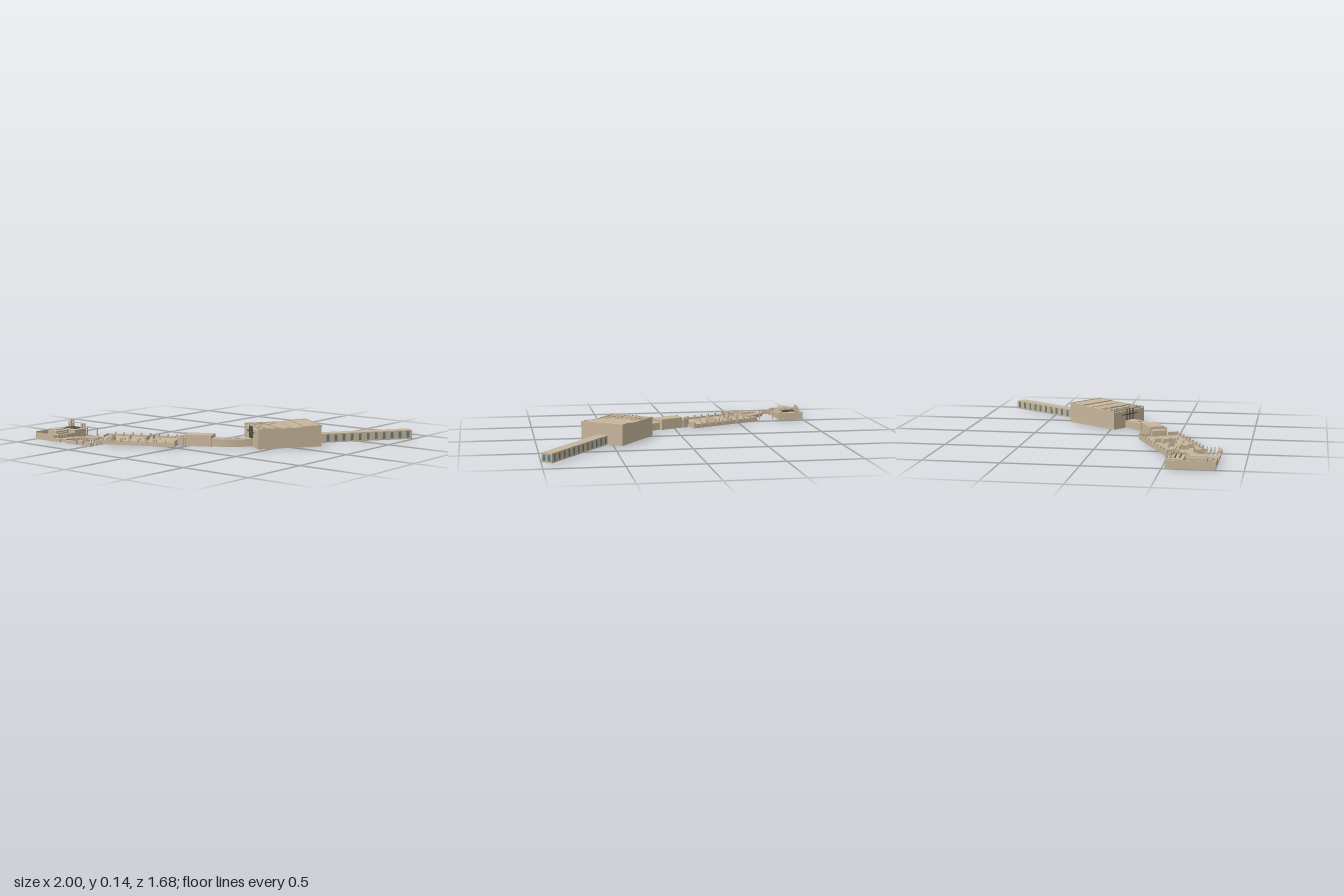
import * as THREE from 'three';

const mat = (name, color) => {
  const m = new THREE.MeshStandardMaterial({ color });
  m.name = name;
  return m;
};

export function createModel() {
  const model = new THREE.Group();
  const stone = mat('sandstone', 0xc6b59b);
  const glass = mat('teal glass', 0x5f8080);
  const iron = mat('dark iron', 0x57524a);

  // Section group whose local x runs along its length
  const section = (name, x, z, angle = 0) => {
    const g = new THREE.Group();
    g.name = name;
    g.position.set(x, 0, z);
    g.rotation.y = angle;
    model.add(g);
    return g;
  };
  // Box given by centre x/z, bottom y and size
  const box = (g, name, x, y, z, w, h, d, m = stone) => {
    const b = new THREE.Mesh(new THREE.BoxGeometry(w, h, d), m);
    b.name = name;
    b.position.set(x, y + h / 2, z);
    g.add(b);
    return b;
  };
  // Prism extruded upward from plan points [x, z]
  const plan = (g, name, pts, y, h) => {
    const shape = new THREE.Shape(pts.map(([x, z]) => new THREE.Vector2(x, -z)));
    const geo = new THREE.ExtrudeGeometry(shape, { depth: h, bevelEnabled: false });
    geo.rotateX(-Math.PI / 2);
    const p = new THREE.Mesh(geo, stone);
    p.name = name;
    p.position.y = y;
    g.add(p);
  };
  // Curved passage of constant width
  const bend = (g, name, a, c, b, width, y, h) => {
    const v = (p) => new THREE.Vector2(p[0], p[1]);
    const curve = new THREE.QuadraticBezierCurve(v(a), v(c), v(b));
    const left = [], right = [];
    for (let i = 0; i <= 14; i++) {
      const p = curve.getPoint(i / 14), t = curve.getTangent(i / 14);
      left.push([p.x - t.y * width / 2, p.y + t.x * width / 2]);
      right.unshift([p.x + t.y * width / 2, p.y - t.x * width / 2]);
    }
    plan(g, name, left.concat(right), y, h);
  };

  // Long corridor with windows on both sides
  const corridor = section('corridor', 0.763, -0.532, 0.963);
  box(corridor, 'corridorBody', 0, 0.005, 0, 0.713, 0.061, 0.076);
  for (let i = 0; i < 12; i++)
    for (const s of [-1, 1])
      box(corridor, 'corridorWindow', -0.315 + i * 0.0582, 0.014, s * 0.038, 0.02, 0.045, 0.003, glass);
  for (const z of [-0.018, 0.018])
    box(corridor, 'endWindow', 0.3565, 0.016, z, 0.003, 0.04, 0.022, glass);

  // Great hall: stepped roof inside a parapet that rises at the back
  const hall = section('greatHall', 0.445, -0.065, 0.964);
  box(hall, 'hallBody', 0, 0.003, 0, 0.438, 0.117, 0.311);
  for (let i = 0; i < 4; i++)
    box(hall, 'roofStep', -0.1 + i * 0.04 + 0.06, 0.12, 0, 0.36 - i * 0.08, 0.003 + i * 0.004, 0.29);
  for (const s of [-1, 1]) {
    const side = new THREE.Shape();
    [[-0.219, 0.12], [0.219, 0.12], [0.219, 0.146], [0.16, 0.146], [0.04, 0.135], [-0.219, 0.135]]
      .forEach(([x, y], i) => (i ? side.lineTo(x, y) : side.moveTo(x, y)));
    const wall = new THREE.Mesh(
      new THREE.ExtrudeGeometry(side, { depth: 0.008, bevelEnabled: false }), stone);
    wall.name = 'sideParapet';
    wall.position.z = s * 0.1515 - 0.004;
    hall.add(wall);
  }
  plan(hall, 'upperRoof', [[0.1, -0.15], [0.219, -0.15], [0.219, 0.15], [0.1, 0.15]], 0.12, 0.022);
  box(hall, 'backParapet', 0.215, 0.12, 0, 0.008, 0.026, 0.311);
  for (const x of [-0.2, -0.155, -0.09, 0.02]) {
    for (const z of [-0.105, 0, 0.105])
      box(hall, 'partition', x, 0.12, z, 0.006, 0.015, 0.08);
    for (const z of [-0.055, 0.055])
      box(hall, 'partitionPier', x + 0.008, 0.12, z, 0.022, 0.016, 0.024);
  }
  for (const z of [-0.1, 0.1])
    box(hall, 'roofRib', -0.05, 0.12, z, 0.27, 0.013, 0.005);
  // Iron frame on the front wall
  for (const z of [-0.03, 0, 0.03])
    box(hall, 'framePost', -0.223, 0.055, z, 0.008, 0.08, 0.005, iron);
  box(hall, 'frameBar', -0.223, 0.095, 0, 0.008, 0.006, 0.15, iron);

  // Curved link between the great hall and the anteroom
  const link = section('curvedLink', 0, 0);
  bend(link, 'linkPassage', [0.11, 0.285], [0.25, 0.235], [0.33, 0.1], 0.085, 0.005, 0.05);
  for (const [x, z, a] of [[0.212, 0.232, 0.6], [0.26, 0.188, 0.8]])
    box(link, 'linkHatch', x, 0.054, z, 0.036, 0.006, 0.034).rotation.y = a;

  // Anteroom block with end ribs
  const ante = section('anteroom', 0.03, 0.324, 0.45);
  box(ante, 'anteroomBody', 0.015, 0.004, 0, 0.178, 0.074, 0.108);
  box(ante, 'anteroomCollar', 0.1, 0.004, 0, 0.014, 0.071, 0.122);
  plan(ante, 'anteroomThroat', [[-0.13, -0.05], [-0.07, -0.06], [-0.07, 0.06], [-0.13, 0.05]], 0.004, 0.056);
  for (const z of [-0.055, 0.055])
    box(ante, 'throatPier', -0.095, 0.004, z, 0.025, 0.072, 0.012);

  // Open gallery: floor slab, broken edge walls, piers and screens
  const gallery = section('gallery', -0.335, 0.494, 0.44);
  box(gallery, 'galleryFloor', 0, 0.006, 0, 0.564, 0.016, 0.277);
  for (const s of [-1, 1])
    for (let i = 0; i < 9; i++) {
      const x = -0.25 + i * 0.0625;
      box(gallery, 'edgeWall', x, 0.022, s * 0.134, 0.044, 0.012, 0.006);
      box(gallery, 'edgePier', x + 0.03, 0.022, s * 0.132, 0.009, 0.026, 0.012);
    }
  for (const s of [-1, 1]) {
    box(gallery, 'endWall', -0.278, 0.022, s * 0.09, 0.006, 0.014, 0.09);
    box(gallery, 'endWall', 0.278, 0.022, s * 0.1, 0.006, 0.024, 0.07);
  }
  for (const [x, z, d] of [[-0.19, 0.01, 0.06], [-0.16, 0.07, 0.045], [0.05, 0, 0.09], [0.07, -0.075, 0.045], [-0.08, -0.03, 0.035]])
    box(gallery, 'screen', x, 0.022, z, 0.009, 0.026, d);
  for (const x of [-0.21, -0.1, 0.01, 0.12])
    for (const z of [-0.06, 0.03, 0.08])
      box(gallery, 'galleryPost', x, 0.022, z, 0.01, 0.018, 0.01);

  // Curved path from the gallery to the front walk
  const path = section('curvedPath', 0, 0);
  bend(path, 'pathFloor', [-0.575, 0.625], [-0.73, 0.66], [-0.73, 0.825], 0.05, 0.006, 0.024);

  // Front walk with piers and dotted posts
  const walk = section('frontWalk', 0, 0);
  box(walk, 'walkWall', -0.64, 0.008, 0.822, 0.36, 0.01, 0.008);
  for (const [x, w, h] of [[-0.785, 0.06, 0.024], [-0.65, 0.1, 0.02], [-0.56, 0.04, 0.032], [-0.49, 0.05, 0.026]])
    box(walk, 'walkPier', x, 0.004, 0.823, w, h, 0.02);
  for (const x of [-0.8, -0.655, -0.6, -0.53, -0.46])
    for (let i = 0; i < 4; i++)
      box(walk, 'walkPost', x, 0.006, 0.735 + i * 0.025, 0.005, 0.03, 0.006);

  // Free-standing gate
  const gate = section('gate', -0.73, 0.555);
  box(gate, 'gateLintel', 0, 0.07, 0, 0.115, 0.008, 0.01);
  for (const x of [-0.05, 0.05])
    box(gate, 'gatePost', x, 0.006, 0, 0.007, 0.065, 0.008);

  // Courtyard house: floor, walls, raised hall with rails, stepped blocks
  const yard = section('courtyard', -0.908, 0.675);
  box(yard, 'yardFloor', 0, 0.002, 0, 0.18, 0.014, 0.31);
  box(yard, 'outerWall', -0.088, 0.01, 0, 0.008, 0.045, 0.31);
  box(yard, 'frontWall', 0, 0.01, 0.151, 0.18, 0.038, 0.007);
  box(yard, 'innerWall', 0.086, 0.01, 0.03, 0.007, 0.03, 0.24);
  box(yard, 'raisedHall', 0.012, 0.012, -0.095, 0.15, 0.045, 0.1);
  for (const z of [-0.128, -0.098, -0.068])
    box(yard, 'roofRail', 0.015, 0.06, z, 0.11, 0.005, 0.007, iron);
  box(yard, 'backWall', 0, 0.01, -0.15, 0.16, 0.045, 0.007);
  for (const [x, h] of [[-0.04, 0.1], [-0.055, 0.085], [0.07, 0.08]])
    for (const z of [-0.149, -0.125])
      box(yard, 'tallPost', x, 0.01, z, 0.011, h, 0.011);
  box(yard, 'highRail', 0.01, 0.087, -0.149, 0.12, 0.005, 0.006);
  for (const [x, z, w, h, d] of [[0.008, 0.04, 0.08, 0.046, 0.115], [0.035, 0.05, 0.06, 0.036, 0.095], [0.06, 0.065, 0.045, 0.026, 0.11]])
    box(yard, 'steppedBlock', x, 0.014, z, w, h, d);
  box(yard, 'blockCanopy', 0.005, 0.066, 0.04, 0.07, 0.006, 0.1);
  for (const z of [0.0, 0.08])
    box(yard, 'canopyPost', 0.005, 0.058, z, 0.01, 0.01, 0.01);

  return model;
}
